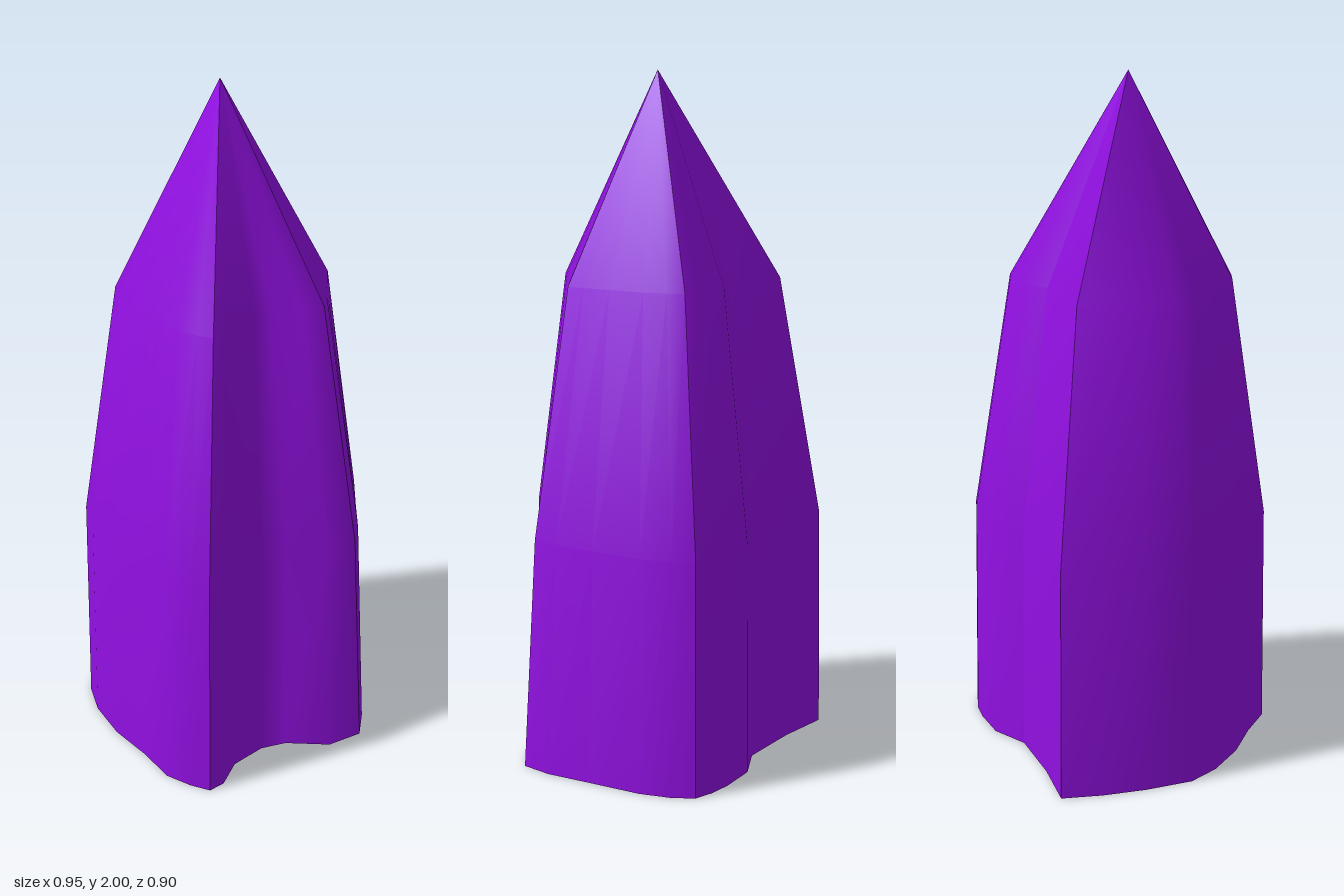
import * as THREE from 'three';

// Base outline as [x, z], running from the left tip past the front
const OUTLINE = [
  [-0.48, 0], [-0.43, 0.11], [-0.365, 0.22], [-0.28, 0.335], [-0.19, 0.385],
  [-0.06, 0.42], [0.08, 0.43], [0.2, 0.45], [0.28, 0.43], [0.337, 0.405],
  [0.343, 0.355], [0.305, 0.27], [0.31, 0.16], [0.345, 0.09], [0.445, 0],
  [0.475, -0.105], [0.42, -0.18], [0.32, -0.27], [0.2, -0.38], [0.12, -0.43],
  [0.055, -0.452], [0, -0.43], [-0.055, -0.395], [-0.14, -0.32], [-0.19, -0.21],
  [-0.34, -0.09],
];

// Outline indices of the sharp vertical ridges; faces between them are smooth
const RIDGES = [0, 9, 10, 15, 20, 24, 26];

// Cross-sections: height, scale, extra narrowing of the side lobe, shift
const RINGS = [
  { y: 0, scale: 1, lobe: 0, shift: 0 },
  { y: 0.68, scale: 0.975, lobe: 0.065, shift: 0 },
  { y: 1.4, scale: 0.72, lobe: 0.07, shift: 0.01 },
];
const APEX = [0.027, 2, 0.052];

function ringPoint(ring, i) {
  const [x, z] = OUTLINE[i % OUTLINE.length];
  const toLobe = Math.max(0, (0.976 * x - 0.216 * z) / Math.hypot(x, z));
  const s = ring.scale - ring.lobe * toLobe ** 4;
  return [x * s + ring.shift, ring.y, z * s + ring.shift];
}

// One smooth facet from ridge to ridge, closing at the apex
function facet(from, to) {
  const n = to - from + 1;
  const pos = [], index = [];
  for (const ring of RINGS) {
    for (let i = from; i <= to; i++) pos.push(...ringPoint(ring, i));
  }
  pos.push(...APEX);
  const top = RINGS.length * n;
  for (let r = 0; r < RINGS.length; r++) {
    for (let i = 0; i < n - 1; i++) {
      const a = r * n + i, b = a + 1;
      if (r === RINGS.length - 1) index.push(a, b, top);
      else index.push(a, b, b + n, a, b + n, a + n);
    }
  }
  const geo = new THREE.BufferGeometry();
  geo.setAttribute('position', new THREE.Float32BufferAttribute(pos, 3));
  geo.setIndex(index);
  geo.computeVertexNormals();
  return geo;
}

export function createModel() {
  const model = new THREE.Group();
  model.name = 'crystal';
  const material = new THREE.MeshStandardMaterial({ color: 0x9010e0 });

  // Side facets
  for (let k = 0; k < RIDGES.length - 1; k++) {
    const mesh = new THREE.Mesh(facet(RIDGES[k], RIDGES[k + 1]), material);
    mesh.name = `facet${k + 1}`;
    model.add(mesh);
  }

  // Flat underside
  const shape = new THREE.Shape(OUTLINE.map(([x, z]) => new THREE.Vector2(x, z)));
  const base = new THREE.Mesh(new THREE.ShapeGeometry(shape).rotateX(Math.PI / 2), material);
  base.name = 'base';
  model.add(base);

  return model;
}
